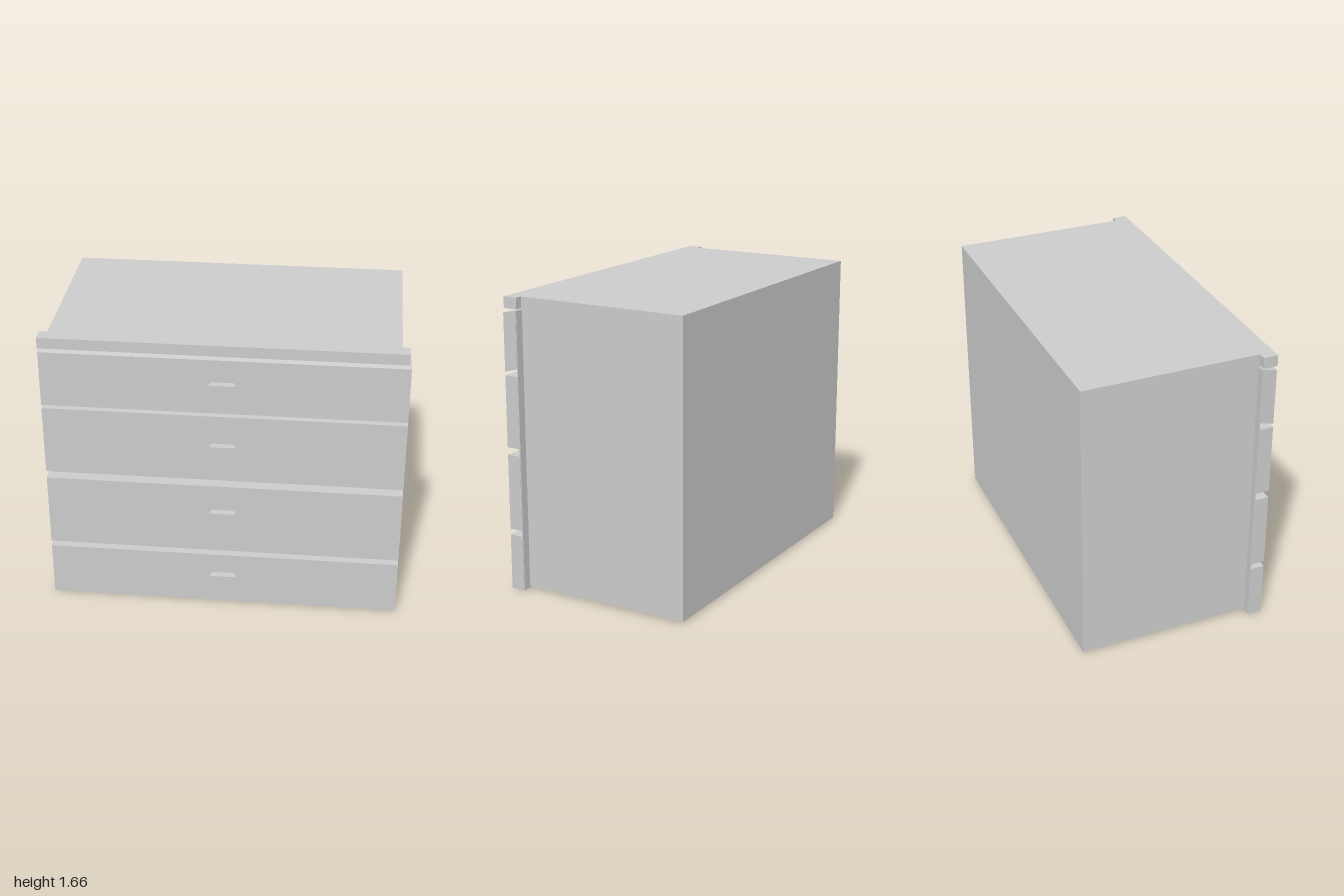
import * as THREE from 'three';

const material = new THREE.MeshStandardMaterial({ color: 0xcccccc, flatShading: true });
const BACK = 0.44, FRONT = 0.52, GRIP = 0.56;

// Box given by its limits on each axis
function box(name, [x0, x1], [y0, y1], [z0, z1]) {
  const geometry = new THREE.BoxGeometry(x1 - x0, y1 - y0, z1 - z0);
  geometry.translate((x0 + x1) / 2, (y0 + y1) / 2, (z0 + z1) / 2);
  const mesh = new THREE.Mesh(geometry, material);
  mesh.name = name;
  return mesh;
}

function prism(points, depth) {
  const shape = new THREE.Shape(points.map(([x, y]) => new THREE.Vector2(x, y)));
  return new THREE.ExtrudeGeometry(shape, { depth, bevelEnabled: false });
}

// Drawer front: side profile swept across the full width; rise lifts its back edge
function drawerFront(y0, y1, rise) {
  const geometry = prism([[BACK, y0 + rise[0]], [FRONT, y0], [FRONT, y1], [BACK, y1 + rise[1]]], 2);
  geometry.translate(0, 0, -1).rotateY(-Math.PI / 2);
  const mesh = new THREE.Mesh(geometry, material);
  mesh.name = 'drawerFront';
  return mesh;
}

// Handle: block that flares towards the front
function handle(y0, y1) {
  const geometry = prism([[-0.075, -GRIP], [0.075, -GRIP], [0.062, -FRONT], [-0.062, -FRONT]], y1 - y0);
  geometry.rotateX(-Math.PI / 2).translate(0, y0, 0);
  const mesh = new THREE.Mesh(geometry, material);
  mesh.name = 'handle';
  return mesh;
}

export function createModel() {
  const model = new THREE.Group();
  model.name = 'chestOfDrawers';

  // Carcass, the thin panel behind the drawers, and the top rail
  model.add(box('carcass', [-0.955, 0.947], [0.012, 1.665], [-0.56, BACK]));
  model.add(box('facePanel', [-0.998, 0.998], [0.004, 1.595], [BACK - 0.004, BACK + 0.002]));
  model.add(box('topRail', [-1, 0.99], [1.602, 1.665], [BACK, FRONT + 0.002]));

  // Drawers from bottom to top
  const drawers = [
    { front: [0, 0.321], grip: [0.135, 0.199] },
    { front: [0.354, 0.785], grip: [0.543, 0.63] },
    { front: [0.828, 1.234], grip: [0.996, 1.064] },
    { front: [1.255, 1.578], grip: [1.384, 1.446], rise: [0.02, 0.017] },
  ];
  for (const { front, grip, rise = [0, 0] } of drawers) {
    const drawer = new THREE.Group();
    drawer.name = 'drawer';
    drawer.add(drawerFront(...front, rise), handle(...grip));
    model.add(drawer);
  }
  return model;
}
